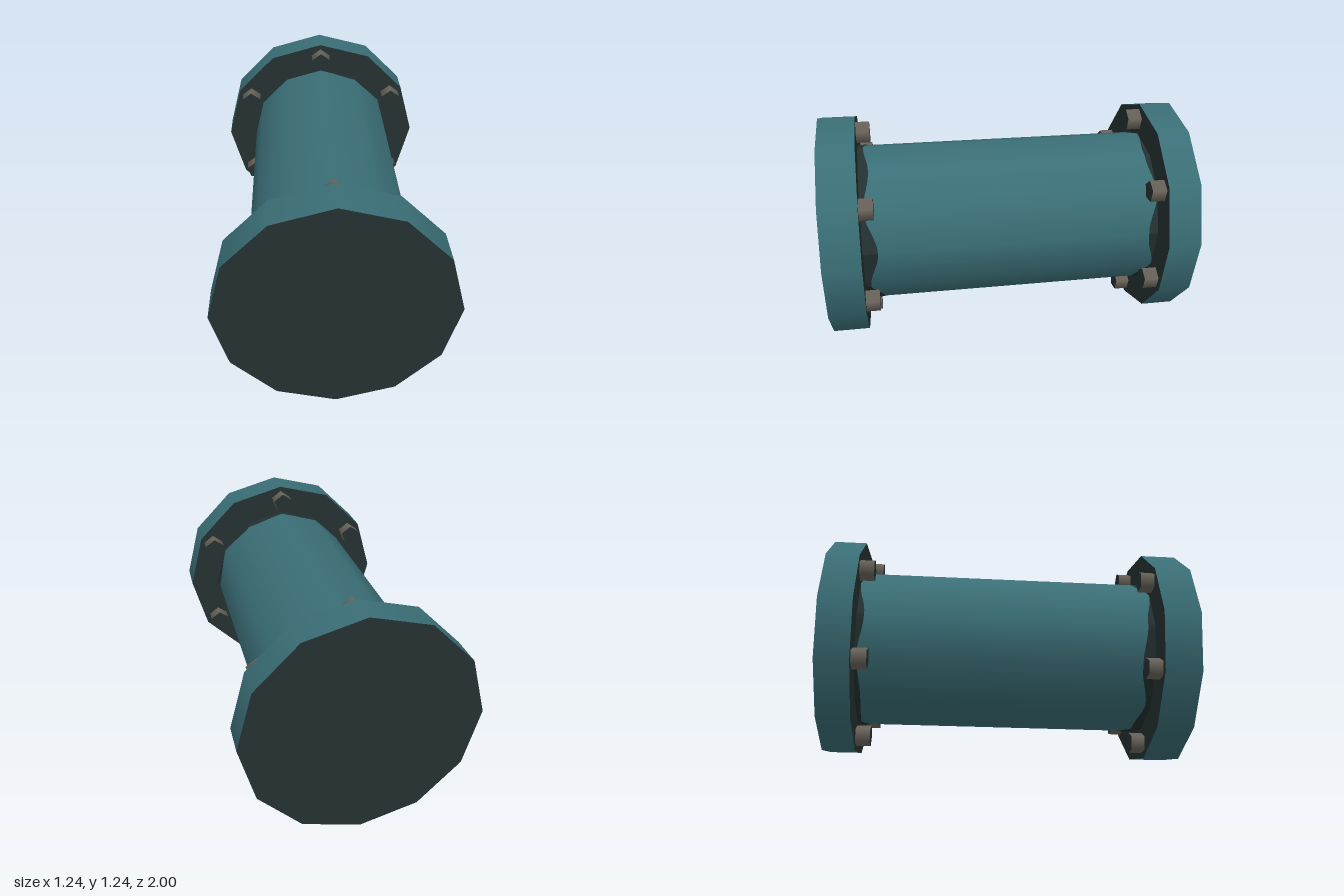
import * as THREE from 'three';

const SIDES = 12, CENTRE = 0.618, PIPE_R = 0.442;

export function createModel() {
  const teal = new THREE.MeshStandardMaterial({ color: 0x3a6e76, name: 'teal paint' });
  const dark = new THREE.MeshStandardMaterial({ color: 0x243030, name: 'dark face' });
  const steel = new THREE.MeshStandardMaterial({ color: 0x69635a, name: 'bolt steel' });

  const model = new THREE.Group();
  model.name = 'flangedPipe';
  const body = new THREE.Group();
  body.name = 'pipeBody';
  body.position.y = CENTRE;
  model.add(body);

  // Cylinder along z between two depths, with separate side and end colours
  const rod = (name, radius, z0, z1, sides, sideMat, x = 0, y = 0) => {
    const g = new THREE.CylinderGeometry(radius, radius, z1 - z0, sides);
    g.rotateX(-Math.PI / 2);
    const mesh = new THREE.Mesh(g, [sideMat, dark, dark]);
    mesh.name = name;
    mesh.position.set(x, y, (z0 + z1) / 2);
    body.add(mesh);
  };

  // Wavy grime hugging the faceted pipe; reach is given every 30 degrees
  const grime = (name, z, dir, reach) => {
    const steps = 96, pos = [], index = [];
    const facet = (2 * Math.PI) / SIDES;
    for (let i = 0; i <= steps; i++) {
      const a = (i / steps) * 2 * Math.PI;
      const k = (i / steps) * reach.length, n = Math.floor(k);
      const t = (1 - Math.cos((k - n) * Math.PI)) / 2;
      const depth = THREE.MathUtils.lerp(reach[n % reach.length], reach[(n + 1) % reach.length], t);
      const r = PIPE_R * Math.cos(facet / 2) / Math.cos((a % facet) - facet / 2) + 0.003;
      const x = r * Math.cos(a), y = r * Math.sin(a);
      pos.push(x, y, z, x, y, z + dir * depth);
      if (i < steps) {
        const p = i * 2;
        index.push(p, p + 1, p + 2, p + 1, p + 3, p + 2);
      }
    }
    // Keep the faces turned outward at both ends
    if (dir > 0) index.reverse();
    const g = new THREE.BufferGeometry();
    g.setAttribute('position', new THREE.Float32BufferAttribute(pos, 3));
    g.setIndex(index);
    g.computeVertexNormals();
    const mesh = new THREE.Mesh(g, dark);
    mesh.name = name;
    body.add(mesh);
  };

  // Pipe and end flanges
  rod('pipe', PIPE_R, -0.9, 0.9, SIDES, teal);
  rod('frontFlange', CENTRE, 0.8, 1, SIDES, teal);
  rod('backFlange', CENTRE, -1, -0.82, SIDES, teal);

  // Six bolts on the inner face of each flange
  for (let i = 0; i < 6; i++) {
    const a = Math.PI / 6 + (i * Math.PI) / 3;
    const x = 0.53 * Math.cos(a), y = 0.53 * Math.sin(a);
    rod('frontBolt', 0.06, 0.725, 0.81, 5, steel, x, y);
    rod('backBolt', 0.06, -0.83, -0.74, 5, steel, x, y);
  }

  // Grime at the joints
  grime('frontGrime', 0.8, -1,
    [0.08, 0.02, 0.055, 0.03, 0.05, 0, 0.04, 0.07, 0.03, 0.06, 0.1, 0.03]);
  grime('backGrime', -0.82, 1,
    [0.05, 0, 0.03, 0, 0.01, 0, 0.04, 0.01, 0.03, 0.02, 0.05, 0]);

  return model;
}
